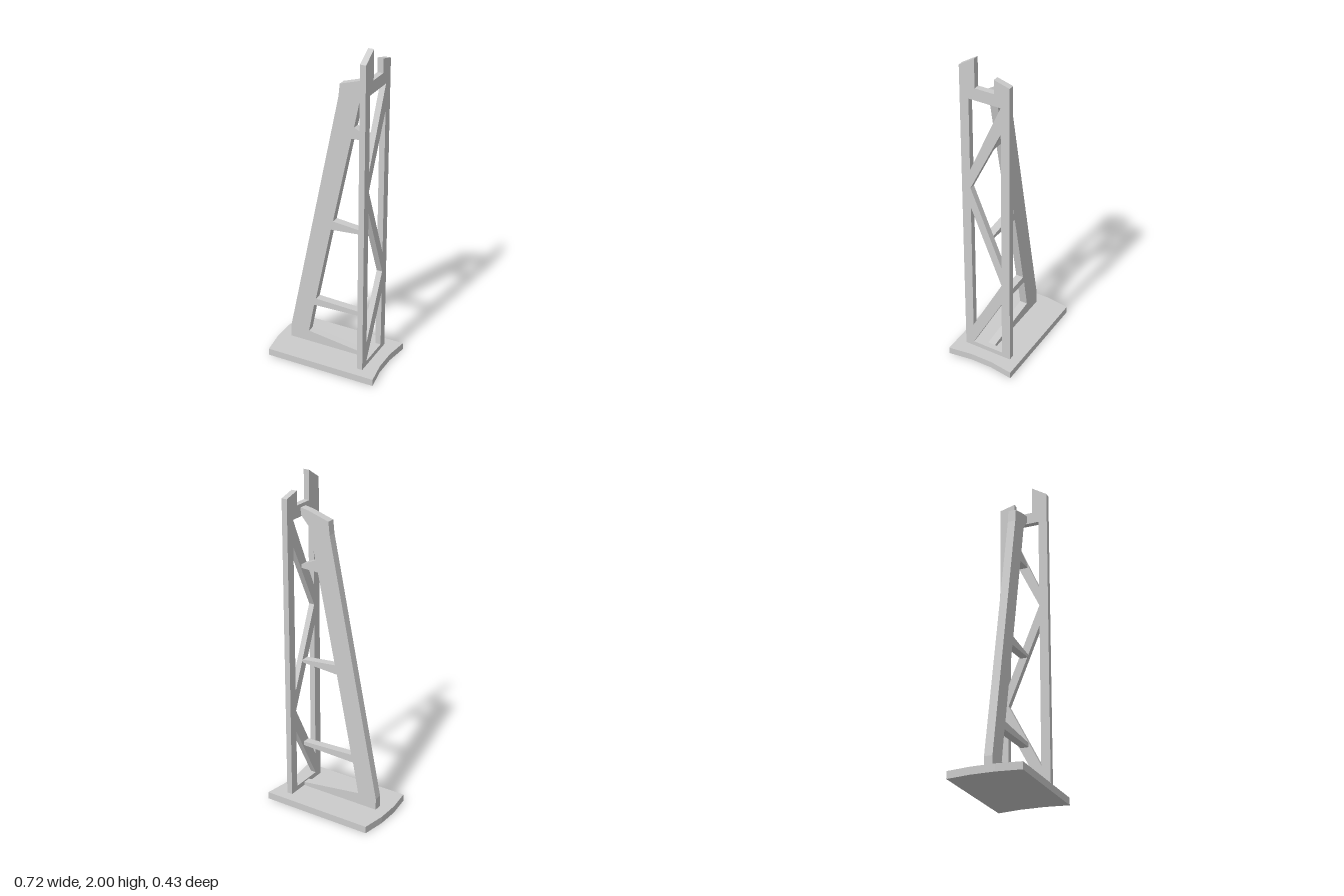
import * as THREE from 'three';

const material = new THREE.MeshStandardMaterial({ color: 0xcccccc, flatShading: true });
const toPoints = (list) => list.map(([x, y]) => new THREE.Vector2(x, y));

// Flat plate cut from an outline, with optional holes
function plate(name, outline, depth, holes = []) {
  const shape = new THREE.Shape(toPoints(outline));
  for (const hole of holes) shape.holes.push(new THREE.Path(toPoints(hole)));
  const geometry = new THREE.ExtrudeGeometry(shape, { depth, bevelEnabled: false });
  const mesh = new THREE.Mesh(geometry, material);
  mesh.name = name;
  return mesh;
}

export function createModel() {
  const group = new THREE.Group();
  group.name = 'trussTower';
  const floor = 0.043;

  // Base slab: one end bulges outward, the other is hollowed to match
  const base = plate('base', [
    [-0.337, -0.2135], [0.357, -0.2135], [0.336, -0.07], [0.336, 0.07],
    [0.357, 0.2135], [-0.337, 0.2135], [-0.358, 0.07], [-0.358, -0.07],
  ], floor);
  base.geometry.rotateX(-Math.PI / 2);
  group.add(base);

  // Upright truss panel with forked top; coordinates are (-z, y)
  const w = 0.1525, i = 0.098, n = 0.0585;
  const panel = plate('trussPanel', [
    [-w, floor], [w, floor], [w, 1.885], [n, 1.91], [n, 1.827],
    [-n, 1.827], [-n, 2], [-w, 1.94],
  ], 0.035, [
    // Triangular openings leave a zigzag of diagonals
    [[-i, 1.755], [i, 1.755], [-i, 1.31]],
    [[i, 1.597], [-i, 1.19], [i, 0.71]],
    [[-i, 1.06], [i, 0.583], [-i, 0.205]],
    [[i, 0.445], [-i, 0.073], [i, 0.073]],
  ]);
  panel.geometry.rotateY(Math.PI / 2);
  panel.position.x = 0.225;
  group.add(panel);

  // Leaning strut with tapered rungs reaching the panel
  const x = 0.225;
  const brace = plate('braceStrut', [
    [x, floor], [x, 0.064], [-0.164, 0.115],
    [-0.127, 0.31], [x, 0.321], [x, 0.345], [-0.114, 0.358],
    [-0.013, 0.851], [x, 0.868], [x, 0.886], [0, 0.907],
    [0.114, 1.448], [x, 1.453], [x, 1.475], [0.13, 1.517],
    [0.167, 1.7], [x, 1.767], [x, 1.807], [0.172, 1.797],
    [0.042, 1.757], [0.034, 1.68], [-0.287, 0.115], [-0.287, floor],
  ], 0.048);
  brace.position.z = -0.024;
  group.add(brace);

  return group;
}
